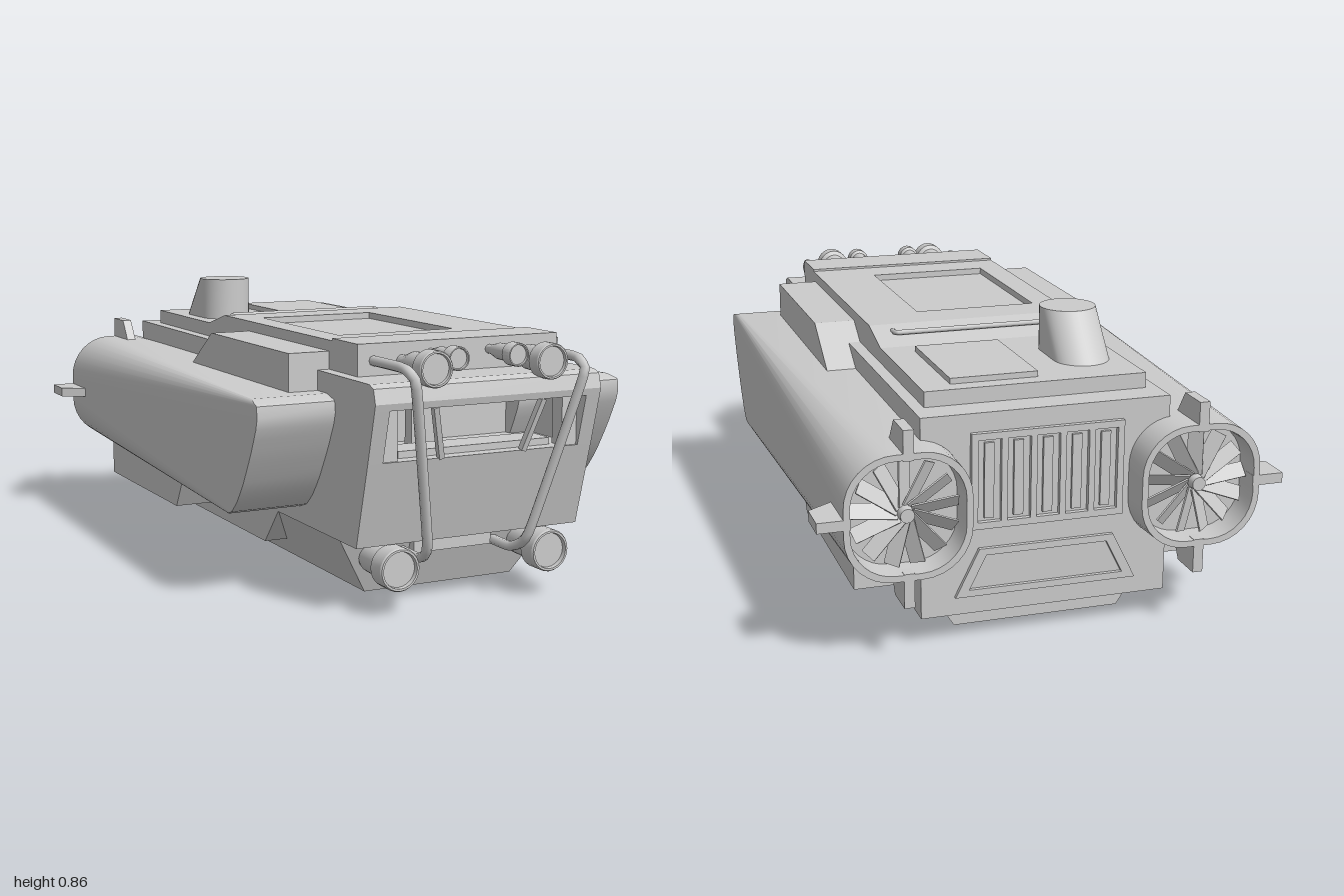
import * as THREE from 'three';
import { toCreasedNormals } from 'three/addons/utils/BufferGeometryUtils.js';

const mat = new THREE.MeshStandardMaterial({ color: 0xcccccc, side: THREE.DoubleSide });

export function createModel() {
  const model = new THREE.Group();

  const add = (name, geo, x = 0, y = 0, z = 0, parent = model) => {
    const mesh = new THREE.Mesh(geo, mat);
    mesh.name = name;
    mesh.position.set(x, y, z);
    parent.add(mesh);
    return mesh;
  };
  const box = (name, w, h, d, x, y, z) => add(name, new THREE.BoxGeometry(w, h, d), x, y, z);
  const poly = pts => new THREE.Shape(pts.map(p => new THREE.Vector2(p[0], p[1])));
  const rect = (x0, y0, x1, y1) => poly([[x0, y0], [x1, y0], [x1, y1], [x0, y1]]);
  const extrude = (shape, depth, holes = []) => {
    shape.holes = holes;
    return new THREE.ExtrudeGeometry(shape, { depth, bevelEnabled: false });
  };
  // side outline of [z, y] points, extruded from x0 to x1
  const sideSlab = (name, pts, x0, x1) =>
    add(name, extrude(poly(pts), x1 - x0).rotateY(-Math.PI / 2), x1);
  const tube = (name, pts, r, tension = 0.1) => {
    const curve = new THREE.CatmullRomCurve3(pts.map(p => new THREE.Vector3(...p)), false, 'catmullrom', tension);
    return add(name, new THREE.TubeGeometry(curve, 40, r, 8));
  };

  // Hull: full outline for the cheeks, notched outline for the cab window
  const rear = [[0.3, 0.2], [0.2, 0.085], [-0.9, 0.085], [-0.9, 0.675]];
  const brow = [[0.9, 0.672], [0.925, 0.662], [0.937, 0.62], [0.932, 0.6]];
  const chin = [[0.893, 0.45], [0.825, 0.2]];
  sideSlab('hullCentre', [...rear, ...brow, [0.62, 0.6], [0.62, 0.45], ...chin], -0.32, 0.32);
  for (const s of [-1, 1])
    sideSlab('hullCheek', [...rear, ...brow, ...chin], s > 0 ? 0.32 : -0.367, s > 0 ? 0.367 : -0.32);

  // Cab interior and window struts
  box('seatBack', 0.08, 0.13, 0.04, -0.095, 0.515, 0.7);
  box('dashboard', 0.5, 0.02, 0.1, 0, 0.46, 0.8);
  for (const s of [-1, 1]) {
    box('cabPillar', 0.05, 0.15, 0.05, s * 0.295, 0.525, 0.86);
    const strut = box('windowStrut', 0.016, 0.162, 0.02, s * 0.155, 0.525, 0.905);
    strut.rotation.set(0.25, 0, -s * 0.26);
  }

  // Belly tray, narrowing downward
  const tray = new THREE.BoxGeometry(2, 0.18, 2);
  const tp = tray.attributes.position;
  for (let i = 0; i < tp.count; i++) {
    const low = tp.getY(i) < 0;
    tp.setX(i, Math.sign(tp.getX(i)) * (low ? 0.25 : 0.365));
    tp.setZ(i, tp.getZ(i) < 0 ? -0.83 : low ? 0.65 : 0.72);
  }
  const flatTray = tray.toNonIndexed();
  flatTray.computeVertexNormals();
  add('bellyTray', flatTray, 0, 0.11, 0);
  add('bellyHatch', new THREE.CylinderGeometry(0.105, 0.105, 0.025, 32), 0, 0.0125, 0.185);
  box('bumper', 0.26, 0.06, 0.06, 0, 0.17, 0.7);

  // Roof with recessed hatch, rear deck and raised panel
  sideSlab('roofBase', [[0.76, 0.66], [0.76, 0.737], [-0.19, 0.737], [-0.2, 0.757],
    [-0.335, 0.72], [-0.81, 0.72], [-0.81, 0.66]], -0.33, 0.33);
  add('roofPlate', extrude(rect(-0.33, -0.76, 0.33, 0.2), 0.022, [rect(-0.25, -0.48, 0.14, 0.07)])
    .rotateX(-Math.PI / 2), 0, 0.735, 0);
  box('roofBrow', 0.66, 0.008, 0.16, 0, 0.76, 0.68);
  box('deckPanel', 0.26, 0.02, 0.36, 0.11, 0.727, -0.58);
  tube('deckRail', [[-0.275, 0.745, -0.235], [-0.275, 0.748, -0.275], [0.265, 0.748, -0.275],
    [0.265, 0.745, -0.235]], 0.008, 0);

  // Funnel with a raked back
  const funnel = new THREE.CylinderGeometry(0.084, 0.084, 0.14, 32).toNonIndexed();
  const fp = funnel.attributes.position;
  for (let i = 0; i < fp.count; i++)
    if (fp.getY(i) < 0 && fp.getZ(i) < 0.001) fp.setZ(i, fp.getZ(i) - 0.12);
  add('funnel', toCreasedNormals(funnel, 0.6), -0.205, 0.785, -0.5);

  // Shoulder boxes and lower sponsons
  for (const s of [-1, 1]) {
    const span = (a, b) => s > 0 ? [a, b] : [-b, -a];
    sideSlab('shoulder', [[0.58, 0.56], [0.58, 0.725], [0, 0.725], [-0.17, 0.61], [-0.17, 0.56]], ...span(0.3, 0.458));
    sideSlab('sponson', [[-0.07, 0.27], [-0.145, 0.145], [-0.78, 0.145], [-0.78, 0.27]], ...span(0.3, 0.53));
  }

  // Engine pods: raked square nose blending to a rounded rear mouth
  const nose = [[0.25, 0.46], [0.27, 0.52], [0.35, 0.585], [0.45, 0.645], [0.53, 0.685], [0.58, 0.7], [0.6, 0.69], [0.613, 0.64]];
  const noseZ = y => {
    const i = Math.max(1, nose.findIndex(p => p[0] >= y - 1e-6));
    const [a, b] = [nose[i - 1], nose[i]];
    return a[1] + (b[1] - a[1]) * (y - a[0]) / (b[0] - a[0]);
  };
  const halfW = 0.18, halfH = 0.1815, midY = 0.4315, podX = 0.427;
  const halfRing = (r, scale) => {
    const pts = [], cx = halfW - r, cy = halfH - r;
    for (let i = 0; i <= 8; i++) {
      const a = (1 - i / 8) * Math.PI / 2;
      pts.push([cx + r * Math.cos(a), cy + r * Math.sin(a)]);
    }
    for (let i = 1; i < 10; i++) pts.push([halfW, cy * (1 - i / 5)]);
    for (let i = 0; i <= 8; i++) {
      const a = -i / 8 * Math.PI / 2;
      pts.push([cx + r * Math.cos(a), -cy + r * Math.sin(a)]);
    }
    return pts.map(p => [p[0] * scale, p[1] * scale]);
  };
  const podGeometry = () => {
    const rings = [[0.015, 1, null], [0.14, 1, -1], [0.14, 0.9, -1], [0.14, 0.88, -0.92]];
    const pos = [], idx = [];
    let n = 0;
    for (const [r, scale, z] of rings) {
      const right = halfRing(r, scale);
      n = right.length;
      const all = [...right, ...right.slice().reverse().map(p => [-p[0], p[1]])];
      for (const [x, y] of all) pos.push(x, y + midY, z ?? noseZ(y + midY));
    }
    const m = 2 * n;
    const quad = (a, b, c, d) => idx.push(a, b, c, a, c, d);
    for (let k = 0; k < rings.length - 1; k++)
      for (let i = 0; i < m; i++) {
        const a = k * m, j = (i + 1) % m;
        quad(a + i, a + j, a + m + j, a + m + i);
      }
    const e = (rings.length - 1) * m;
    for (let i = 0; i < n - 1; i++) {
      quad(i, m - 1 - i, m - 2 - i, i + 1);
      quad(e + i, e + m - 1 - i, e + m - 2 - i, e + i + 1);
    }
    const g = new THREE.BufferGeometry();
    g.setAttribute('position', new THREE.Float32BufferAttribute(pos, 3));
    g.setIndex(idx);
    return toCreasedNormals(g, 0.5);
  };

  for (const s of [-1, 1]) {
    const pod = new THREE.Group();
    pod.name = 'enginePod';
    pod.position.x = s * podX;
    model.add(pod);
    add('podShell', podGeometry(), 0, 0, 0, pod);
    // Fan
    add('fanHub', new THREE.CylinderGeometry(0.026, 0.02, 0.06, 20).rotateX(Math.PI / 2), 0, midY, -0.955, pod);
    for (let i = 0; i < 13; i++) {
      const blade = new THREE.BoxGeometry(0.045, 0.135, 0.005).rotateY(0.6 * s).translate(0, 0.087, 0);
      add('fanBlade', blade, 0, midY, -0.95, pod).rotation.z = i / 13 * Math.PI * 2;
    }
    // Tail fins above, below and outboard
    const fin = h => extrude(poly([[-0.16, -0.02], [-0.1, h], [0, h], [0, -0.02]]), 0.03)
      .translate(0, 0, -0.015).scale(-1, 1, 1).rotateY(Math.PI / 2).rotateY(Math.PI);
    const finAt = (name, h, angle, x, y) => {
      const g = new THREE.Group();
      g.name = name;
      g.position.set(x, y, -1);
      g.rotation.z = angle;
      pod.add(g);
      const f = add(name, fin(h), 0, 0, 0, g);
      f.geometry.computeBoundingBox();
      if (f.geometry.boundingBox.min.z < -0.01) f.scale.z = -1;
    };
    finAt('topFin', 0.067, 0, 0, 0.612);
    finAt('bottomFin', 0.08, Math.PI, 0, 0.25);
    finAt('sideFin', 0.073, -s * Math.PI / 2, s * halfW, 0.43);
  }

  // Rear grille and lower hatch frame
  const slots = [];
  for (let i = -2; i <= 2; i++) slots.push(rect(i * 0.086 - 0.034, 0.36, i * 0.086 + 0.034, 0.6));
  add('rearGrille', extrude(rect(-0.225, 0.34, 0.225, 0.62), 0.02, slots), 0, 0, -0.915);
  for (let i = -2; i <= 2; i++) box('grilleSlat', 0.028, 0.22, 0.012, i * 0.086, 0.48, -0.903);
  add('rearHatchFrame', extrude(poly([[-0.27, 0.14], [0.27, 0.14], [0.2, 0.28], [-0.2, 0.28]]), 0.02,
    [poly([[-0.23, 0.16], [0.23, 0.16], [0.18, 0.26], [-0.18, 0.26]])]), 0, 0, -0.912);

  // Spotlights and brush bars
  const spot = (name, x, y, zFront, r, len) => {
    const profile = [[0, -1], [0.38, -1], [0.42, -0.85], [0.7, -0.62], [0.74, -0.27], [1, -0.23],
      [1, -0.02], [0.95, 0], [0.85, 0], [0.82, -0.05], [0, -0.05]];
    const lathe = new THREE.LatheGeometry(profile.map(p => new THREE.Vector2(p[0] * r, p[1] * len)), 24);
    add(name, toCreasedNormals(lathe.rotateX(Math.PI / 2), 0.5), x, y, zFront);
  };
  for (const s of [-1, 1]) {
    spot('roofLamp', s * 0.188, 0.708, 0.955, 0.052, 0.2);
    spot('smallRoofLamp', s * 0.097, 0.728, 0.92, 0.034, 0.165);
    spot('lowerLamp', s * 0.25, 0.135, 0.87, 0.063, 0.27);
    tube('brushBar', [[s * 0.28, 0.715, 0.75], [s * 0.28, 0.715, 0.93], [s * 0.276, 0.7, 0.97], [s * 0.268, 0.66, 0.985],
      [s * 0.175, 0.23, 0.885], [s * 0.162, 0.17, 0.855], [s * 0.155, 0.145, 0.8], [s * 0.155, 0.145, 0.68]], 0.015, 0.3);
  }
  return model;
}
